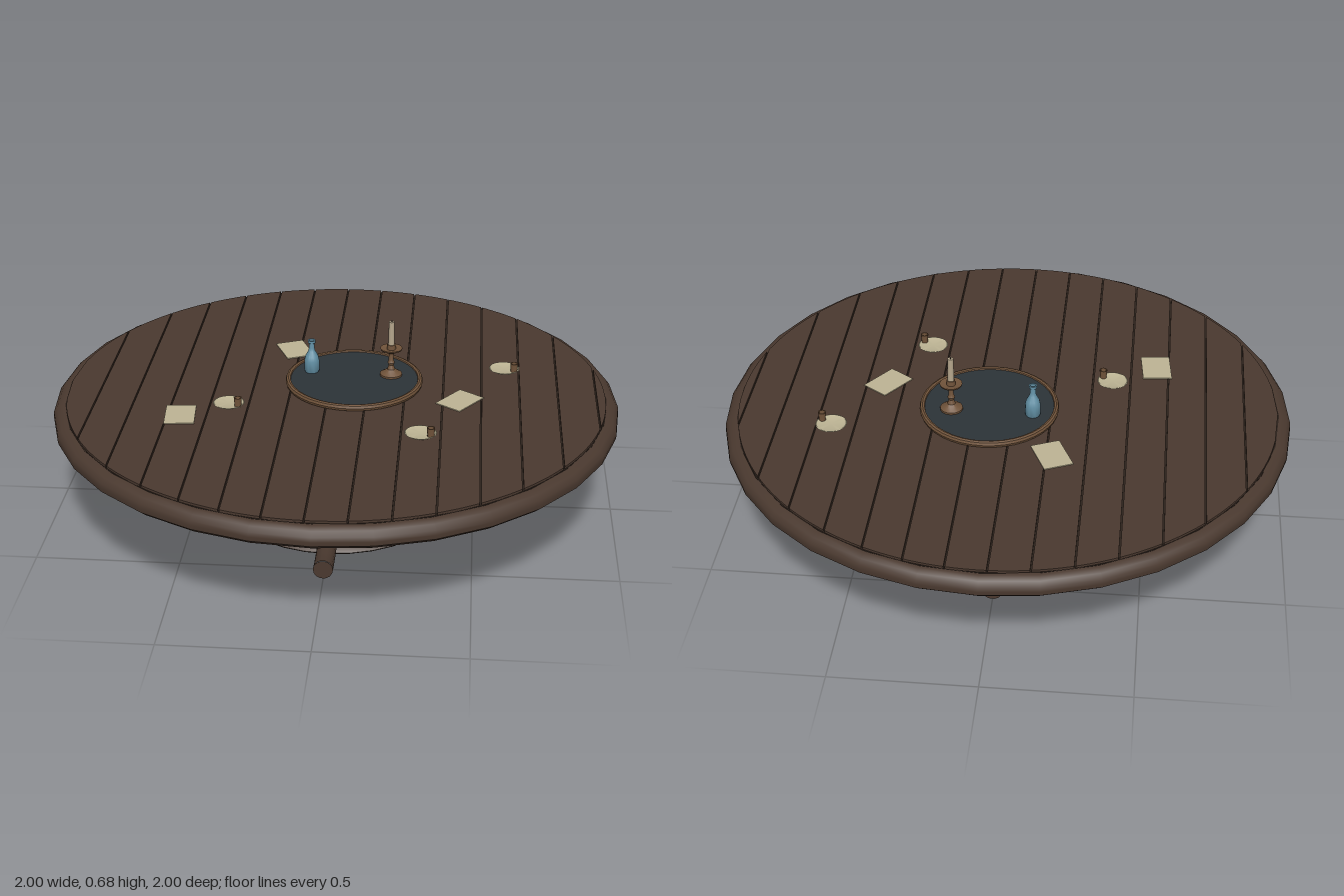
import * as THREE from 'three';
import { toCreasedNormals } from 'three/addons/utils/BufferGeometryUtils.js';

const mat = (color) => new THREE.MeshStandardMaterial({ color });
const wood = mat(0x4a392f);
const darkWood = mat(0x2b211b);
const brass = mat(0x70533a);
const slate = mat(0x2c3338);
const glass = mat(0x6391a6);
const paper = mat(0xbdb494);
const wax = mat(0xb5a68c);

export function createModel() {
  const model = new THREE.Group();

  const add = (name, geometry, material, x = 0, y = 0, z = 0, parent = model) => {
    const mesh = new THREE.Mesh(geometry, material);
    mesh.name = name;
    mesh.position.set(x, y, z);
    parent.add(mesh);
    return mesh;
  };
  // Turned solid from [radius, height] pairs, listed from the bottom up
  const turned = (points, segments = 32) => toCreasedNormals(
    new THREE.LatheGeometry(points.map(([r, y]) => new THREE.Vector2(r, y)), segments), 0.6);

  // Round top with a rounded rim; its upper face is the dark bed under the planks
  add('tableRim', turned([
    [0, 0.363], [0.945, 0.363], [0.98, 0.369], [0.998, 0.385], [1, 0.4], [0.998, 0.416],
    [0.985, 0.432], [0.965, 0.44], [0.955, 0.441],
  ]), wood);
  add('plankBed', turned([[0.957, 0.439], [0.957, 0.442], [0, 0.442]]), darkWood);

  // Planks running front to back, clipped to the circle
  const R = 0.952, pitch = 0.135, gap = 0.0025;
  for (let k = -7; k <= 7; k++) {
    const x0 = Math.max(-R, -0.025 + k * pitch + gap);
    const x1 = Math.min(R, -0.025 + (k + 1) * pitch - gap);
    if (x1 - x0 < 0.01) continue;
    const front = [], back = [];
    for (let i = 0; i <= 8; i++) {
      const x = x0 + (x1 - x0) * i / 8;
      const d = Math.sqrt(Math.max(0, R * R - x * x));
      front.push(new THREE.Vector2(x, -d));
      back.unshift(new THREE.Vector2(x, d));
    }
    const plank = new THREE.ExtrudeGeometry(new THREE.Shape([...front, ...back]),
      { depth: 0.01, bevelEnabled: false });
    add('plank', plank.rotateX(-Math.PI / 2), wood, 0, 0.44, 0);
  }

  // Pedestal: wide foot, narrow waist, flared head
  add('pedestal', turned([
    [0, 0.004], [0.4, 0.004], [0.405, 0.01], [0.395, 0.02], [0.25, 0.095], [0.15, 0.15],
    [0.1, 0.185], [0.108, 0.25], [0.117, 0.305], [0.15, 0.32], [0.3, 0.363],
  ]), wood);

  // Four curved feet
  const path = new THREE.CatmullRomCurve3([
    [0.05, 0.165], [0.12, 0.14], [0.22, 0.102], [0.34, 0.058], [0.44, 0.038], [0.51, 0.037], [0.57, 0.043],
  ].map(([x, y]) => new THREE.Vector3(x, y, 0)));
  const footGeometry = new THREE.TubeGeometry(path, 24, 0.034, 14);
  for (let i = 0; i < 4; i++) {
    const foot = new THREE.Group();
    foot.name = 'foot';
    foot.rotation.y = i * Math.PI / 2;
    model.add(foot);
    add('footBeam', footGeometry, wood, 0, 0, 0, foot);
    const cap = add('footEnd', new THREE.CircleGeometry(0.034, 14), wood, 0.57, 0.043, 0, foot);
    cap.rotation.set(0, Math.PI / 2, 0);
  }

  // Round tray, set off centre
  const tray = new THREE.Group();
  tray.name = 'tray';
  tray.position.set(0.06, 0, -0.06);
  model.add(tray);
  add('trayRim', turned([
    [0.235, 0.449], [0.243, 0.453], [0.246, 0.462], [0.243, 0.471], [0.236, 0.474],
    [0.229, 0.472], [0.227, 0.464],
  ], 40), brass, 0, 0, 0, tray);
  add('trayFace', new THREE.CylinderGeometry(0.23, 0.23, 0.018, 40), slate, 0, 0.458, 0, tray);

  // Bottle
  add('bottle', turned([
    [0, 0], [0.024, 0], [0.027, 0.006], [0.027, 0.045], [0.023, 0.062], [0.013, 0.08],
    [0.01, 0.092], [0.01, 0.11], [0.014, 0.113], [0.014, 0.122], [0.009, 0.122], [0.007, 0.1],
  ], 16), glass, -0.097, 0.467, -0.108);

  // Candlestick and candle
  add('candlestick', turned([
    [0, 0], [0.04, 0], [0.04, 0.007], [0.028, 0.014], [0.014, 0.024], [0.009, 0.04],
    [0.013, 0.05], [0.009, 0.06], [0.009, 0.085], [0.02, 0.092], [0.038, 0.1],
    [0.04, 0.106], [0.016, 0.102], [0.015, 0.12], [0, 0.12],
  ], 16), brass, 0.19, 0.467, -0.098);
  add('candle', new THREE.CylinderGeometry(0.01, 0.012, 0.1, 12), wax, 0.19, 0.624, -0.098);
  add('wick', new THREE.CylinderGeometry(0.002, 0.002, 0.008, 6), darkWood, 0.19, 0.674, -0.098);

  // Plates, each with a small cup near its edge
  const plateGeometry = turned([[0, 0], [0.045, 0], [0.055, 0.006], [0.052, 0.007], [0.043, 0.004], [0, 0.004]], 24);
  const cupGeometry = turned([
    [0, 0], [0.012, 0], [0.012, 0.008], [0.014, 0.032], [0.011, 0.032], [0.01, 0.008], [0, 0.008],
  ], 12);
  for (const [x, z] of [[0.598, -0.212], [-0.365, 0.153], [0.312, 0.335]]) {
    add('plate', plateGeometry, paper, x, 0.45, z);
    add('cup', cupGeometry, brass, x + 0.035, 0.454, z + 0.022);
  }

  // Loose sheets of paper
  for (const [x, z, turn] of [[-0.18, -0.325, 0.41], [0.44, 0.07, -0.62], [-0.52, 0.257, 0.09]]) {
    add('sheet', new THREE.BoxGeometry(0.104, 0.003, 0.144), paper, x, 0.4535, z).rotation.y = turn;
  }

  return model;
}
